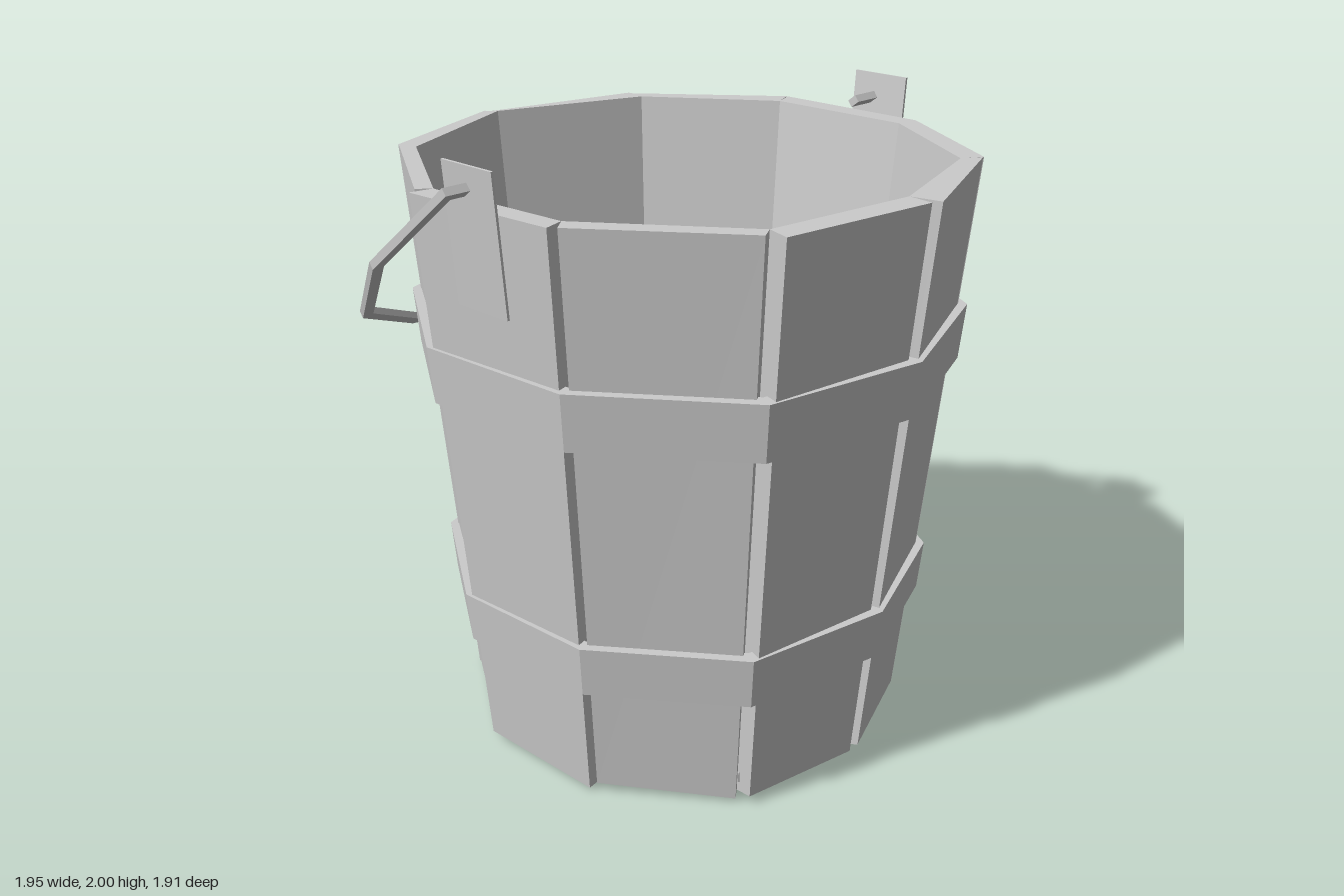
import * as THREE from 'three';

const material = new THREE.MeshStandardMaterial({ color: 0xcccccc, flatShading: true, side: THREE.DoubleSide });

const H = 1.87, CZ = 0.02;

// Inner rim corners [x, z], going round from the front stave
const inner = [[-0.455, 0.79], [0.06, 0.85], [0.525, 0.695], [0.785, 0.267], [0.78, -0.247],
  [0.495, -0.65], [-0.02, -0.825], [-0.535, -0.6], [-0.81, -0.155], [-0.78, 0.35]];

// Outer rim edge of each stave [x1, z1, x2, z2]; slightly uneven, as hand-cut planks
const outer = [[-0.48, 0.87, 0.05, 0.935], [0.08, 0.95, 0.585, 0.735], [0.59, 0.735, 0.86, 0.28],
  [0.86, 0.28, 0.86, -0.28], [0.86, -0.285, 0.505, -0.72], [0.51, -0.73, -0.03, -0.84],
  [-0.05, -0.86, -0.555, -0.665], [-0.55, -0.67, -0.85, -0.19], [-0.885, -0.17, -0.85, 0.37],
  [-0.83, 0.39, -0.505, 0.82]];
const N = inner.length;

// Box whose eight corners are placed by corner(u, v, w), each argument 0 or 1
function warpedBox(name, corner) {
  const geo = new THREE.BoxGeometry(1, 1, 1);
  const p = geo.attributes.position;
  for (let i = 0; i < p.count; i++) {
    const c = corner(+(p.getX(i) > 0), +(p.getY(i) > 0), +(p.getZ(i) > 0));
    p.setXYZ(i, c.x, c.y, c.z);
  }
  geo.computeVertexNormals();
  const mesh = new THREE.Mesh(geo, material);
  mesh.name = name;
  return mesh;
}

// Scale a rim point towards the bucket axis and set its height
const scaled = (x, z, k, y) => new THREE.Vector3(x * k, y, (z - CZ) * k + CZ);
const taper = (y) => 0.805 + 0.195 * y / H;

function createStaves() {
  const group = new THREE.Group();
  group.name = 'staves';
  for (let i = 0; i < N; i++) {
    group.add(warpedBox('stave', (u, v, w) => {
      if (w) {
        const y = v ? H : (u ? 0.012 : 0.03);
        return scaled(outer[i][u * 2], outer[i][u * 2 + 1], taper(v ? H : 0), y);
      }
      const [x, z] = inner[(i + u) % N];
      return scaled(x, z, v ? 1 : 0.785, v ? H : 0);
    }));
  }
  return group;
}

// Hoop following the taper of the staves
function createBand(name, y0, y1) {
  const group = new THREE.Group();
  group.name = name;
  const ring = outer.map((o, i) => {
    const prev = outer[(i + N - 1) % N];
    return [(o[0] + prev[2]) / 2, (o[1] + prev[3]) / 2];
  });
  for (let i = 0; i < N; i++) {
    group.add(warpedBox('bandSegment', (u, v, w) => {
      const [x, z] = ring[(i + u) % N];
      const y = v ? y1 : y0;
      return scaled(x, z, taper(y) * (w ? 1.033 : 0.97), y);
    }));
  }
  return group;
}

// Floor panel set just above the lower rim
function createFloor() {
  const shape = new THREE.Shape(inner.map(([x, z]) => {
    const c = scaled(x, z, 0.805, 0);
    return new THREE.Vector2(c.x, -c.z);
  }));
  const geo = new THREE.ExtrudeGeometry(shape, { depth: 0.035, bevelEnabled: false });
  geo.rotateX(-Math.PI / 2);
  geo.translate(0, 0.04, 0);
  const floor = new THREE.Mesh(geo, material);
  floor.name = 'floor';
  return floor;
}

// Thin upright plate that holds one end of the handle
function createEar(name, side, x) {
  const ear = new THREE.Mesh(new THREE.BoxGeometry(0.008, 0.42, 0.21), material);
  ear.name = name;
  ear.position.set(x, 1.79, 0.112);
  ear.rotation.z = -side * 0.085;
  return ear;
}

// Square-section bail lying in a sloping plane, with hooked ends
function createHandle() {
  const group = new THREE.Group();
  group.name = 'handle';
  const path = [[0.77, 0.085], [0.955, 0.085], [0.91, -0.36], [0.69, -0.67], [0.38, -0.865], [-0.01, -0.937],
    [-0.39, -0.865], [-0.72, -0.665], [-0.94, -0.27], [-0.96, 0.1], [-0.82, 0.1]]
    .map(([x, z]) => new THREE.Vector3(x, 1.93 + (z - 0.1) * 0.75, z));
  const normal = new THREE.Vector3(0, 0.8, -0.6);
  const last = path.length - 1;
  const sideOf = (i) => path[i + 1].clone().sub(path[i]).normalize().cross(normal);
  // Mitred sideways direction at each path point
  const miters = path.map((_, i) => {
    const a = sideOf(Math.max(i - 1, 0)), b = sideOf(Math.min(i, last - 1));
    const m = a.clone().add(b).normalize();
    return m.multiplyScalar(1 / m.dot(a));
  });
  for (let i = 0; i < last; i++) {
    group.add(warpedBox('handleSegment', (u, v, w) => path[i + u].clone()
      .addScaledVector(normal, (v - 0.5) * 0.025)
      .addScaledVector(miters[i + u], (w - 0.5) * 0.035)));
  }
  return group;
}

export function createModel() {
  const bucket = new THREE.Group();
  bucket.name = 'bucket';
  bucket.add(
    createStaves(),
    createFloor(),
    createBand('upperBand', 1.22, 1.4),
    createBand('lowerBand', 0.39, 0.555),
    createEar('leftEar', 1, 0.865),
    createEar('rightEar', -1, -0.88),
    createHandle(),
  );
  return bucket;
}
